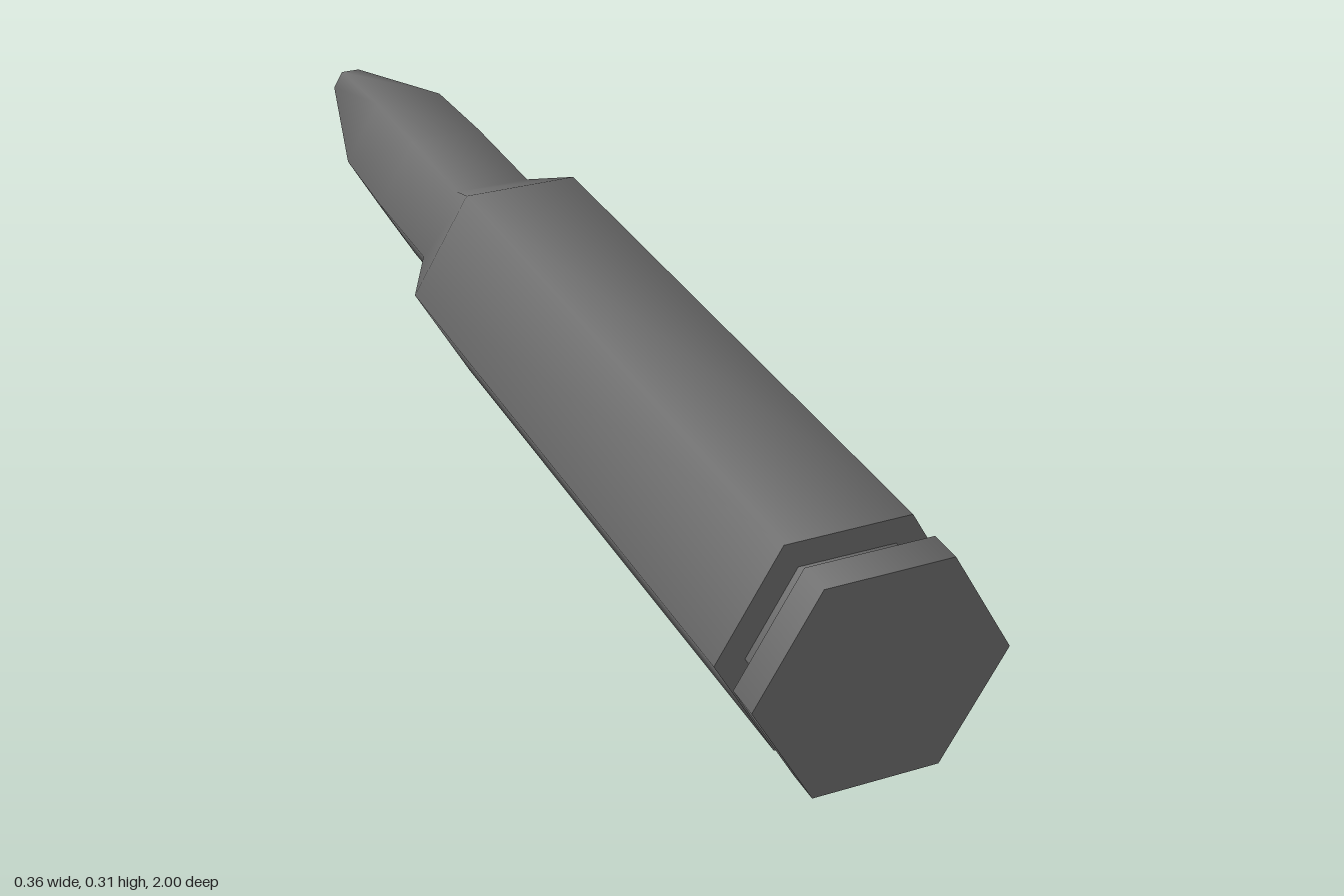
import * as THREE from 'three';
import { mergeGeometries } from 'three/addons/utils/BufferGeometryUtils.js';

const SIDES = 6;
const AXIS_HEIGHT = 0.1545;

// Each run is a list of [radius, z] from front to back; shading is smooth
// inside a run and sharp where one run meets the next.
function turned(name, runs, material) {
  const lathes = runs.map((run) => new THREE.LatheGeometry(
    run.map(([r, z]) => new THREE.Vector2(r, -z)), SIDES, Math.PI / 2));
  const geometry = mergeGeometries(lathes);
  geometry.rotateX(-Math.PI / 2); // turning axis along z, corners on +x and -x
  const mesh = new THREE.Mesh(geometry, material);
  mesh.name = name;
  mesh.position.y = AXIS_HEIGHT;
  return mesh;
}

export function createModel() {
  const group = new THREE.Group();
  group.name = 'cartridge';
  const material = new THREE.MeshStandardMaterial({ color: 0x6f6f6f });

  const R = 0.1785;     // case and rim
  const GROOVE = 0.136; // extractor groove
  const NECK = 0.12;
  const TIP = 0.032;

  group.add(
    // flat base disc, rim wall and the step into the groove
    turned('rim', [
      [[0, 1], [R, 1]],
      [[R, 1], [R, 0.95]],
      [[R, 0.95], [GROOVE, 0.95]],
    ], material),
    turned('extractorGroove', [[[GROOVE, 0.95], [GROOVE, 0.897]]], material),
    // step out of the groove, then body, shoulder and neck
    turned('case', [
      [[GROOVE, 0.897], [R, 0.897]],
      [[R, 0.897], [R, -0.167], [NECK, -0.287], [NECK, -0.5]],
    ], material),
    // tapered bullet with a flat tip
    turned('bullet', [
      [[NECK, -0.5], [0.114, -0.68], [TIP, -1]],
      [[TIP, -1], [0, -1]],
    ], material),
  );
  return group;
}
